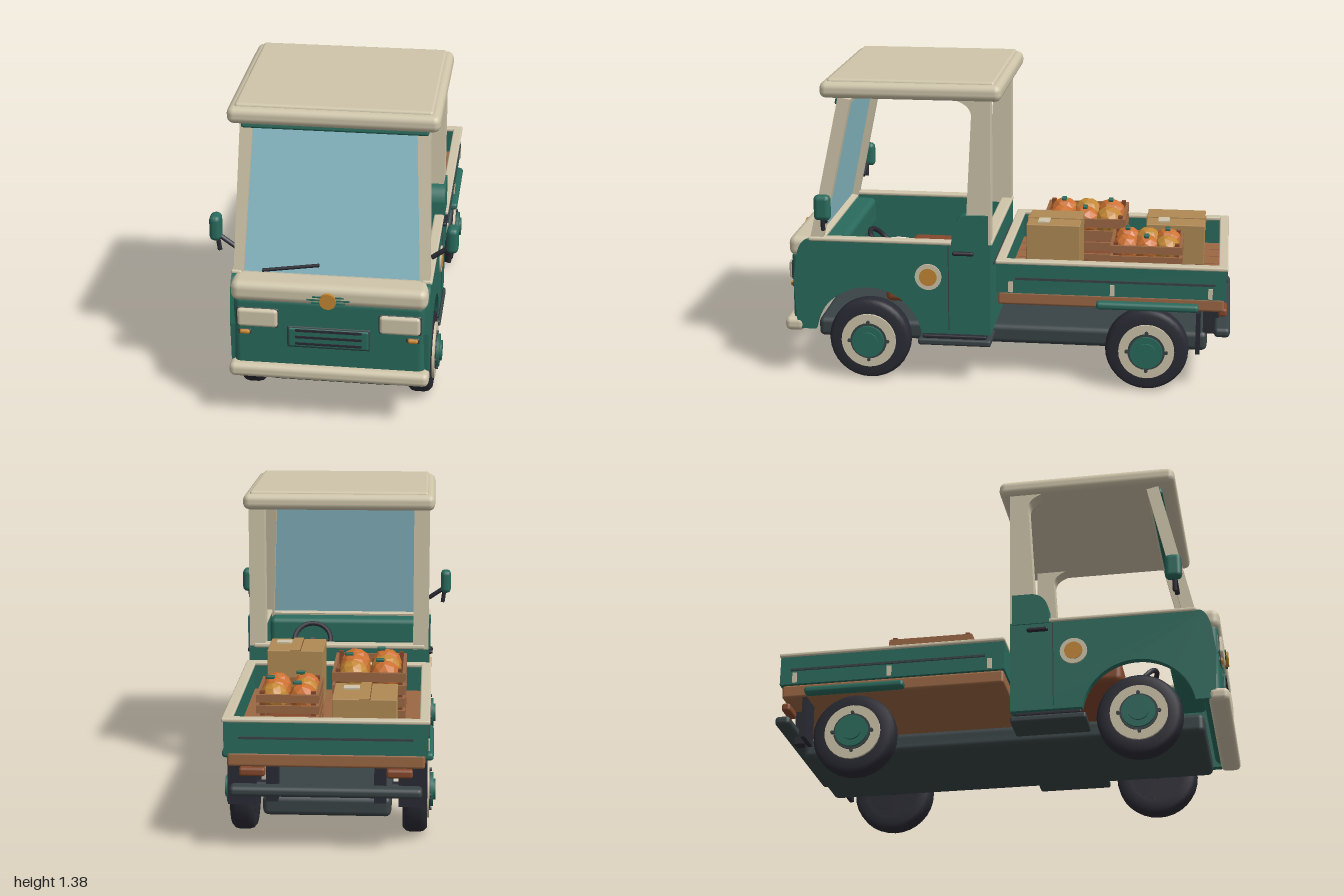
import * as THREE from 'three';
import { RoundedBoxGeometry } from 'three/addons/geometries/RoundedBoxGeometry.js';

const mat = (name, color, extra = {}) => Object.assign(new THREE.MeshStandardMaterial({ color, ...extra }), { name });

export function createModel() {
  const root = new THREE.Group();
  root.name = 'pickup';
  const green = mat('green paint', 0x2a6b5d), cream = mat('cream paint', 0xcfc5aa);
  const glass = mat('pale blue glass', 0x90c4cf), wood = mat('bed wood', 0x9c6844);
  const rust = mat('rust brown', 0x84482c), card = mat('cardboard', 0xb08a54);
  const orange = mat('orange', 0xcc7030, { flatShading: true }), ochre = mat('ochre', 0xc48834, { flatShading: true });
  const rubber = mat('rubber', 0x2a2a34), steel = mat('dark steel', 0x394345);

  const add = (name, geo, m, x = 0, y = 0, z = 0, parent = root) => {
    const mesh = new THREE.Mesh(geo, m);
    mesh.name = name;
    mesh.position.set(x, y, z);
    parent.add(mesh);
    return mesh;
  };
  // Box given by its limits on each axis; r rounds its edges
  const box = (name, m, x0, x1, y0, y1, z0, z1, r = 0, parent = root) => {
    const s = [x1 - x0, y1 - y0, z1 - z0];
    const geo = r ? new RoundedBoxGeometry(...s, 2, Math.min(r, Math.min(...s) * 0.49)) : new THREE.BoxGeometry(...s);
    return add(name, geo, m, (x0 + x1) / 2, (y0 + y1) / 2, (z0 + z1) / 2, parent);
  };
  // Same box on both sides; x limits are for the +x side
  const pair = (name, m, x0, x1, ...rest) => {
    box(name + 'Left', m, x0, x1, ...rest);
    box(name + 'Right', m, -x1, -x0, ...rest);
  };
  const rod = (name, m, a, b, r) => {
    const A = new THREE.Vector3(...a), B = new THREE.Vector3(...b);
    const mesh = add(name, new THREE.CylinderGeometry(r, r, A.distanceTo(B), 8), m);
    mesh.position.copy(A).add(B).multiplyScalar(0.5);
    mesh.quaternion.setFromUnitVectors(new THREE.Vector3(0, 1, 0), B.sub(A).normalize());
  };
  // Side profile drawn in (z, y), extruded from x0 to x1 on both sides
  const sidePlate = (name, m, shape, x0, x1) => {
    for (const s of [1, -1]) {
      const geo = new THREE.ExtrudeGeometry(shape, { depth: x1 - x0, bevelEnabled: false, curveSegments: 20 });
      geo.rotateY(-Math.PI / 2); // shape x -> z, depth -> -x
      add(name + (s > 0 ? 'Left' : 'Right'), geo, m, s > 0 ? x1 : -x0);
    }
  };
  const disc = (name, m, r, h, x, y, z, axis, seg = 24, parent = root) => {
    const geo = new THREE.CylinderGeometry(r, r, h, seg);
    if (axis === 'x') geo.rotateZ(Math.PI / 2);
    if (axis === 'z') geo.rotateX(Math.PI / 2);
    return add(name, geo, m, x, y, z, parent);
  };

  // Chassis, running boards and bumpers
  box('chassis', steel, -0.27, 0.27, 0.14, 0.23, -0.9, 0.88, 0.025);
  pair('runningBoard', steel, 0.25, 0.43, 0.175, 0.205, 0.06, 0.39, 0.01);
  pair('runningBoardTop', rubber, 0.25, 0.42, 0.205, 0.222, 0.08, 0.37, 0.006);
  box('frontAxle', rubber, -0.34, 0.34, 0.165, 0.21, 0.59, 0.64, 0.01);
  box('rearAxle', rubber, -0.34, 0.34, 0.165, 0.21, -0.66, -0.61, 0.01);
  box('frontBumper', cream, -0.425, 0.425, 0.215, 0.278, 0.91, 1.0, 0.025);
  box('rearBumper', steel, -0.4, 0.4, 0.253, 0.297, -1.0, -0.93, 0.018);
  pair('bumperBracket', rubber, 0.2, 0.25, 0.22, 0.38, -0.95, -0.88);
  pair('mudFlap', rubber, 0.3, 0.42, 0.18, 0.37, -0.87, -0.85);

  // Wheels
  const tyre = [[0.115, -0.05], [0.165, -0.052], [0.18, -0.038], [0.185, -0.02], [0.185, 0.02],
    [0.18, 0.038], [0.165, 0.052], [0.115, 0.05]].map(p => new THREE.Vector2(...p));
  for (const z of [0.615, -0.635]) for (const s of [1, -1]) {
    const wheel = new THREE.Group();
    wheel.name = (z > 0 ? 'front' : 'rear') + 'Wheel' + (s > 0 ? 'Left' : 'Right');
    wheel.position.set(s * 0.368, 0.185, z);
    wheel.rotation.y = s > 0 ? 0 : Math.PI;
    root.add(wheel);
    add('tyre', new THREE.LatheGeometry(tyre, 32).rotateZ(-Math.PI / 2), rubber, 0, 0, 0, wheel);
    disc('innerFace', rubber, 0.118, 0.01, -0.046, 0, 0, 'x', 28, wheel);
    disc('rim', cream, 0.124, 0.105, 0.008, 0, 0, 'x', 28, wheel);
    disc('rimGap', steel, 0.083, 0.01, 0.06, 0, 0, 'x', 24, wheel);
    disc('hubCap', green, 0.073, 0.022, 0.066, 0, 0, 'x', 20, wheel);
    disc('hubCentre', green, 0.045, 0.014, 0.08, 0, 0, 'x', 16, wheel);
    for (let i = 0; i < 4; i++) {
      const a = i * Math.PI / 2;
      disc('wheelNut', steel, 0.008, 0.012, 0.064, Math.cos(a) * 0.088, Math.sin(a) * 0.088, 'x', 8, wheel);
    }
  }

  // Cab sides with wheel arches
  const side = new THREE.Shape();
  side.moveTo(0.06, 0.23);
  side.lineTo(0.37, 0.23);
  side.absarc(0.615, 0.19, 0.245, Math.PI - 0.16, 0.16, true);
  side.lineTo(0.94, 0.23);
  side.lineTo(0.955, 0.45);
  side.lineTo(0.94, 0.56);
  side.quadraticCurveTo(0.925, 0.65, 0.88, 0.65);
  side.lineTo(0.06, 0.65);
  sidePlate('cabSide', green, side, 0.385, 0.42);
  box('cabFront', green, -0.405, 0.405, 0.24, 0.59, 0.885, 0.965, 0.03);
  box('cabBack', green, -0.4, 0.4, 0.23, 0.645, 0.06, 0.1);
  box('cabBackGroove', steel, -0.33, 0.33, 0.535, 0.545, 0.055, 0.105);
  box('backRail', cream, -0.4, 0.4, 0.64, 0.662, 0.055, 0.11, 0.008);
  box('cowl', cream, -0.415, 0.415, 0.563, 0.657, 0.84, 0.975, 0.035);
  pair('sillTrim', cream, 0.38, 0.425, 0.643, 0.662, 0.22, 0.88, 0.008);
  box('dashboard', green, -0.385, 0.385, 0.5, 0.635, 0.73, 0.86, 0.025);
  box('seat', rust, -0.38, 0.38, 0.355, 0.46, 0.11, 0.545, 0.03);
  const steering = add('steeringWheel', new THREE.TorusGeometry(0.09, 0.012, 8, 24), rubber, 0.16, 0.56, 0.59);
  steering.rotation.x = 0.7;
  rod('steeringColumn', rubber, [0.16, 0.56, 0.59], [0.16, 0.47, 0.75], 0.014);

  // Rear pillars and shoulder panels
  const pillar = new THREE.Shape();
  pillar.moveTo(0.06, 0.64);
  pillar.lineTo(0.175, 0.64);
  pillar.lineTo(0.143, 1.23);
  pillar.quadraticCurveTo(0.145, 1.28, 0.22, 1.3);
  pillar.lineTo(0.06, 1.3);
  sidePlate('rearPillar', cream, pillar, 0.345, 0.417);
  const shoulder = new THREE.Shape();
  shoulder.moveTo(0.07, 0.64);
  shoulder.lineTo(0.235, 0.64);
  shoulder.lineTo(0.23, 0.72);
  shoulder.quadraticCurveTo(0.21, 0.785, 0.15, 0.785);
  shoulder.lineTo(0.07, 0.785);
  sidePlate('shoulder', green, shoulder, 0.355, 0.426);

  // Windscreen and frame, leaning back
  const screen = new THREE.Group();
  screen.name = 'windscreen';
  screen.position.set(0, 0.64, 0.87);
  screen.rotation.x = -0.212;
  root.add(screen);
  const trapezoid = (b, t, y0, y1, T = THREE.Shape) => new T([[-b, y0], [b, y0], [t, y1], [-t, y1]].map(p => new THREE.Vector2(...p)));
  const frame = trapezoid(0.415, 0.395, 0, 0.67);
  frame.holes.push(trapezoid(0.372, 0.342, 0.015, 0.645, THREE.Path));
  add('screenFrame', new THREE.ExtrudeGeometry(frame, { depth: 0.055, bevelEnabled: false }), cream, 0, 0, -0.05, screen);
  add('glass', new THREE.ExtrudeGeometry(trapezoid(0.375, 0.345, 0.01, 0.65), { depth: 0.008, bevelEnabled: false }), glass, 0, 0, -0.02, screen);
  box('header', green, -0.39, 0.39, 0.632, 0.665, -0.045, 0.016, 0.01, screen);
  rod('wiper', rubber, [-0.29, 0.672, 0.88], [-0.05, 0.705, 0.872], 0.008);

  // Roof
  box('roof', cream, -0.44, 0.44, 1.295, 1.368, 0.01, 0.81, 0.03);
  box('roofCrown', cream, -0.41, 0.41, 1.34, 1.38, 0.04, 0.78, 0.014);

  // Lights, grille, badges
  pair('headlightBezel', steel, 0.207, 0.393, 0.445, 0.543, 0.93, 0.97, 0.015);
  pair('headlight', cream, 0.214, 0.386, 0.452, 0.536, 0.94, 0.982, 0.015);
  pair('indicatorBase', steel, 0.325, 0.385, 0.41, 0.438, 0.94, 0.97, 0.01);
  pair('indicator', ochre, 0.333, 0.377, 0.414, 0.434, 0.95, 0.979, 0.009);
  box('grilleEdge', steel, -0.177, 0.177, 0.36, 0.462, 0.95, 0.969, 0.008);
  box('grille', green, -0.17, 0.17, 0.367, 0.455, 0.95, 0.975, 0.008);
  for (const y of [0.385, 0.416, 0.447]) box('grilleSlat', rubber, -0.14, 0.14, y - 0.005, y + 0.005, 0.965, 0.979);
  disc('frontBadge', ochre, 0.035, 0.02, 0, 0.595, 0.978, 'z');
  [0.07, 0.09, 0.065].forEach((w, i) => box('badgeWing', green, -w, w, 0.58 + i * 0.014, 0.586 + i * 0.014, 0.968, 0.98));
  for (const s of [1, -1]) {
    disc('sideBadgeRing', cream, 0.06, 0.008, s * 0.423, 0.495, 0.34, 'x');
    disc('sideBadge', ochre, 0.04, 0.008, s * 0.427, 0.495, 0.34, 'x');
    rod('mirrorArm', rubber, [s * 0.415, 0.735, 0.8], [s * 0.495, 0.79, 0.795], 0.011);
    rod('mirrorStem', rubber, [s * 0.485, 0.715, 0.795], [s * 0.495, 0.79, 0.795], 0.01);
  }
  pair('doorHandle', rubber, 0.415, 0.437, 0.6, 0.618, 0.135, 0.23, 0.008);
  pair('doorSeam', steel, 0.415, 0.422, 0.25, 0.64, 0.247, 0.251);
  pair('mirror', green, 0.475, 0.525, 0.765, 0.88, 0.755, 0.83, 0.022);

  // Load bed
  box('bedBase', wood, -0.41, 0.41, 0.375, 0.437, -0.97, 0.03, 0.012);
  box('bedFloorGaps', rust, -0.4, 0.4, 0.43, 0.45, -0.96, 0.02);
  for (let i = 0; i < 7; i++) {
    const x = -0.342 + i * 0.114;
    box('floorPlank', wood, x - 0.054, x + 0.054, 0.44, 0.456, -0.955, 0.015);
  }
  pair('bedWall', green, 0.39, 0.422, 0.435, 0.575, -0.978, 0.035);
  box('tailgate', green, -0.4, 0.4, 0.435, 0.575, -0.978, -0.946);
  box('bedFrontWall', green, -0.4, 0.4, 0.435, 0.575, 0.003, 0.035);
  pair('bedRim', cream, 0.385, 0.43, 0.568, 0.586, -0.982, 0.038, 0.007);
  box('tailgateRim', cream, -0.43, 0.43, 0.568, 0.586, -0.985, -0.942, 0.007);
  box('bedFrontRim', cream, -0.43, 0.43, 0.568, 0.586, -0.004, 0.038, 0.007);
  pair('bedWallLine', steel, 0.42, 0.428, 0.498, 0.508, -0.93, -0.05);
  box('tailgateLine', steel, -0.36, 0.36, 0.498, 0.508, -0.984, -0.977);
  for (const z of [-0.03, -0.48, -0.91]) pair('bedBracket', cream, 0.42, 0.429, 0.44, 0.488, z - 0.01, z + 0.01);
  pair('rearFender', green, 0.36, 0.445, 0.378, 0.412, -0.86, -0.41, 0.014);
  pair('tailLight', rust, 0.25, 0.36, 0.337, 0.375, -0.985, -0.945, 0.012);

  // Cardboard boxes with tape and label
  const parcel = (x0, x1, y1, z0, z1, lx, lz) => {
    const c = (x0 + x1) / 2, w = 0.022;
    box('parcel', card, x0, x1, 0.456, y1, z0, z1, 0.004);
    box('parcelTape', card, c - w, c + w, y1 - 0.05, y1 + 0.004, z0 - 0.004, z1 + 0.004);
    box('parcelSeam', rust, c - w - 0.003, c - w, y1 - 0.002, y1 + 0.002, z0, z1);
    box('parcelLabel', cream, lx - 0.034, lx + 0.034, y1, y1 + 0.006, lz - 0.026, lz + 0.026);
  };
  parcel(-0.29, -0.02, 0.645, -0.875, -0.605, -0.095, -0.685);
  parcel(0.05, 0.3, 0.718, -0.325, -0.085, 0.235, -0.16);

  // Slatted crates with fruit
  const crate = (x0, x1, y1, z0, z1, r, last) => {
    const t = 0.014, h = (y1 - 0.456) / 4;
    box('crateBase', rust, x0, x1, 0.456, 0.47, z0, z1);
    for (let i = 0; i < 4; i++) {
      const a = 0.458 + i * h, b = a + h * 0.72;
      for (const x of [x0, x1 - t]) box('crateSlat', wood, x, x + t, a, b, z0, z1);
      for (const z of [z0, z1 - t]) box('crateSlat', wood, x0, x1, a, b, z, z + t);
    }
    for (const x of [x0 + t, x1 - 2 * t - 0.006]) for (const z of [z0 + t, z1 - 2 * t - 0.006])
      box('cratePost', rust, x, x + 0.02, 0.456, y1, z, z + 0.02);
    for (let i = 0; i < 3; i++) for (let j = 0; j < 2; j++) {
      const x = (x0 + x1) / 2 + (j - 0.5) * r * 2, z = (z0 + z1) / 2 + (i - 1) * (z1 - z0 - 0.05) / 3;
      const ripe = (i + j) % 2 === 0, y = y1 - r + 0.025;
      const fruit = add('fruit', new THREE.IcosahedronGeometry(r, 1), ripe || (i === 2 && last) ? orange : ochre, x, y, z);
      fruit.rotation.set(i * 0.7, j * 1.1 + i, 0.3);
      if (ripe) box('fruitLeaf', green, x + 0.005, x + 0.042, y + r - 0.006, y + r + 0.008, z - 0.011, z + 0.011, 0.004);
    }
  };
  crate(0.04, 0.305, 0.645, -0.78, -0.46, 0.062, true);
  crate(-0.32, 0.0, 0.68, -0.51, -0.13, 0.07, true);
  return root;
}
